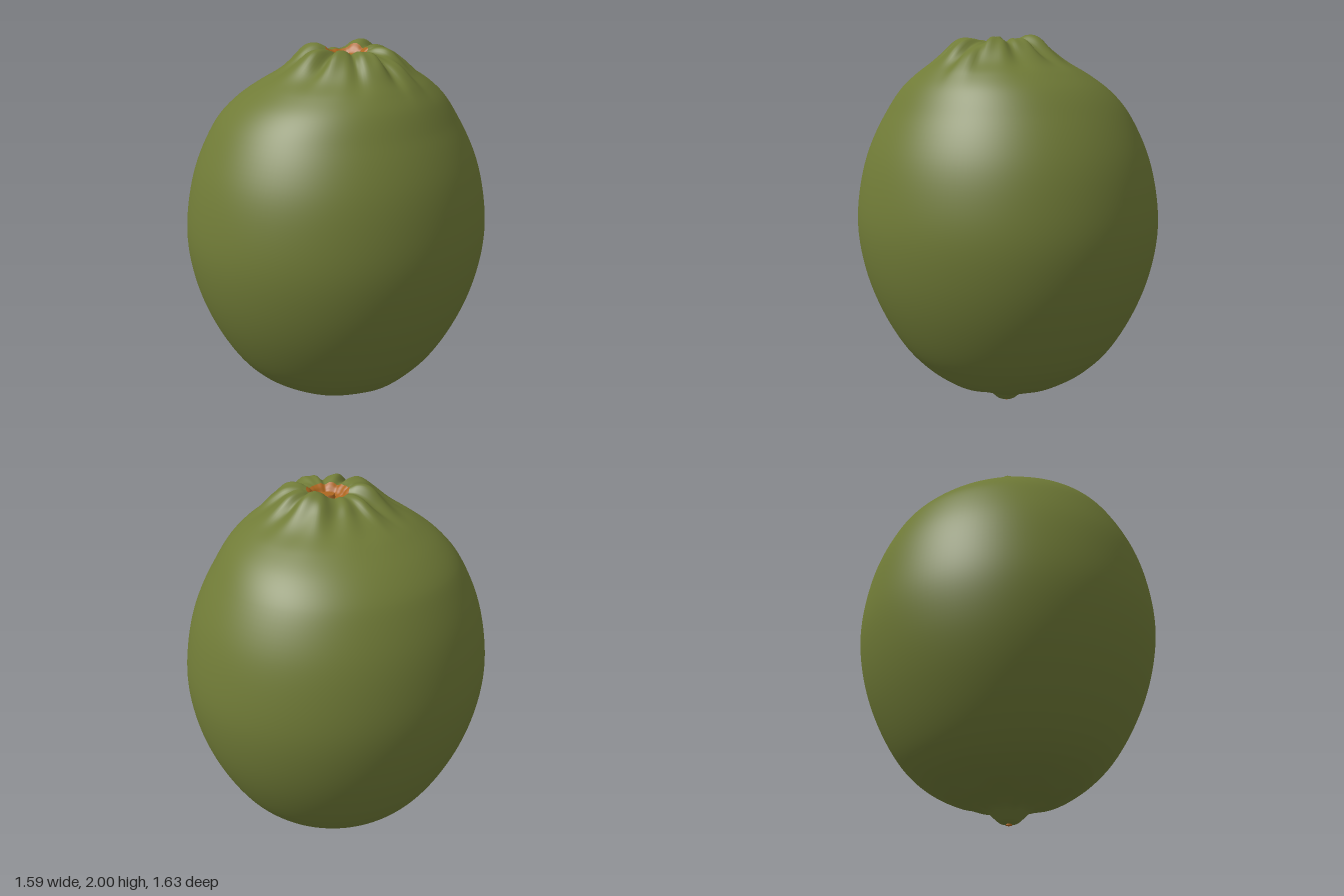
import * as THREE from 'three';

const SEGMENTS = 144;

// Knobbly lobes round the stem: [angle, distance from stem, half angle, height]
const LOBES = [
  [0.0, 0.22, 0.26, 0.04], [0.62, 0.24, 0.24, 0.045], [1.08, 0.3, 0.15, 0.03],
  [1.5, 0.22, 0.26, 0.04], [2.15, 0.19, 0.24, 0.03], [2.9, 0.18, 0.36, 0.045],
  [-1.45, 0.19, 0.28, 0.045], [-0.72, 0.23, 0.3, 0.045], [-2.05, 0.25, 0.15, 0.012],
];

const smooth = (a, b, t) => THREE.MathUtils.smoothstep(t, a, b);
const wrap = (a) => Math.atan2(Math.sin(a), Math.cos(a));

// Place a profile point (r, y) at an angle, with the fruit's irregularities
function fruitPoint(r, y, angle) {
  const top = smooth(1.58, 1.93, y);
  const bottom = 1 - smooth(0.02, 0.25, y);
  const side = smooth(0.1, 0.6, r);
  // slightly squashed, uneven girth
  let rad = r * (1 + side * (0.011 * Math.cos(2 * angle) - 0.033 * Math.sin(2 * angle)));
  let height = y;
  // lobes and creases round the stem
  if (y > 1.55) {
    let bump = 0;
    for (const [a, dist, width, h] of LOBES) {
      const da = wrap(angle - a) / width;
      const dr = (r - dist) / (r > dist ? 0.12 : 0.1);
      bump += h * Math.exp(-(da ** 4) - dr * dr);
    }
    const ring = Math.exp(-(((r - 0.23) / 0.13) ** 2));
    const crease = 0.005 * Math.sin(13 * angle + 14 * r) * ring;
    const lift = bump - 0.022 * ring + crease;
    height += lift;
    rad += lift * 0.4 * smooth(0.1, 0.25, r);
  }
  // pitted skin near the blossom end
  const pits = bottom * smooth(0.06, 0.2, r) * 0.004;
  height += pits * (Math.sin(9 * angle + 11 * r) + Math.sin(5 * angle - 17 * r));
  const cx = 0.055 * top + 0.05 * bottom;
  const cz = 0.035 * top;
  return [cx + rad * Math.sin(angle), THREE.MathUtils.clamp(height, 0, 2), cz + rad * Math.cos(angle)];
}

// Revolve a smooth profile, running upward on the outside, into a closed surface
function revolve(profile, rings) {
  const curve = new THREE.CatmullRomCurve3(
    profile.map(([r, y]) => new THREE.Vector3(r, y, 0)), false, 'centripetal');
  const positions = [], index = [];
  for (let j = 0; j <= rings; j++) {
    const p = curve.getPoint(j / rings);
    for (let i = 0; i < SEGMENTS; i++) {
      positions.push(...fruitPoint(Math.max(p.x, 0.0005), p.y, (i / SEGMENTS) * Math.PI * 2));
    }
  }
  for (let j = 0; j < rings; j++) {
    for (let i = 0; i < SEGMENTS; i++) {
      const n = (i + 1) % SEGMENTS;
      const a = j * SEGMENTS + i, b = j * SEGMENTS + n;
      const c = a + SEGMENTS, d = b + SEGMENTS;
      index.push(a, b, d, a, d, c);
    }
  }
  const geometry = new THREE.BufferGeometry();
  geometry.setAttribute('position', new THREE.Float32BufferAttribute(positions, 3));
  geometry.setIndex(index);
  geometry.computeVertexNormals();
  return geometry;
}

export function createModel() {
  const group = new THREE.Group();
  const green = new THREE.MeshStandardMaterial({ color: 0x707b37 });
  green.name = 'lime green';
  const orange = new THREE.MeshStandardMaterial({ color: 0xad661f });
  orange.name = 'dry orange brown';

  const add = (name, geometry, material) => {
    const mesh = new THREE.Mesh(geometry, material);
    mesh.name = name;
    group.add(mesh);
    return mesh;
  };

  // Peel from the blossom tip up to the rim of the stem hollow
  add('peel', revolve([
    [0, 0.004], [0.045, 0.012], [0.08, 0.04], [0.115, 0.07], [0.18, 0.092], [0.27, 0.115],
    [0.41, 0.18], [0.522, 0.275], [0.615, 0.4], [0.716, 0.6], [0.778, 0.8], [0.803, 1],
    [0.786, 1.2], [0.735, 1.4], [0.638, 1.6], [0.55, 1.715], [0.45, 1.8], [0.36, 1.86],
    [0.275, 1.92], [0.21, 1.96], [0.15, 1.972], [0.11, 1.965],
  ], 150), green);

  // Dry hollow round the stem
  add('stemHollow', revolve([
    [0.11, 1.965], [0.092, 1.952], [0.075, 1.93], [0.04, 1.92], [0, 1.92],
  ], 14), orange);

  // Six-sided stem stub
  const stem = add('stemStub', new THREE.CylinderGeometry(0.038, 0.048, 0.03, 6), orange);
  stem.position.set(0.058, 1.928, 0.037);

  // Small dry scar on the blossom tip
  const scar = add('blossomScar', new THREE.CylinderGeometry(0.016, 0.016, 0.006, 10), orange);
  scar.position.set(0.05, 0.003, 0);

  return group;
}
